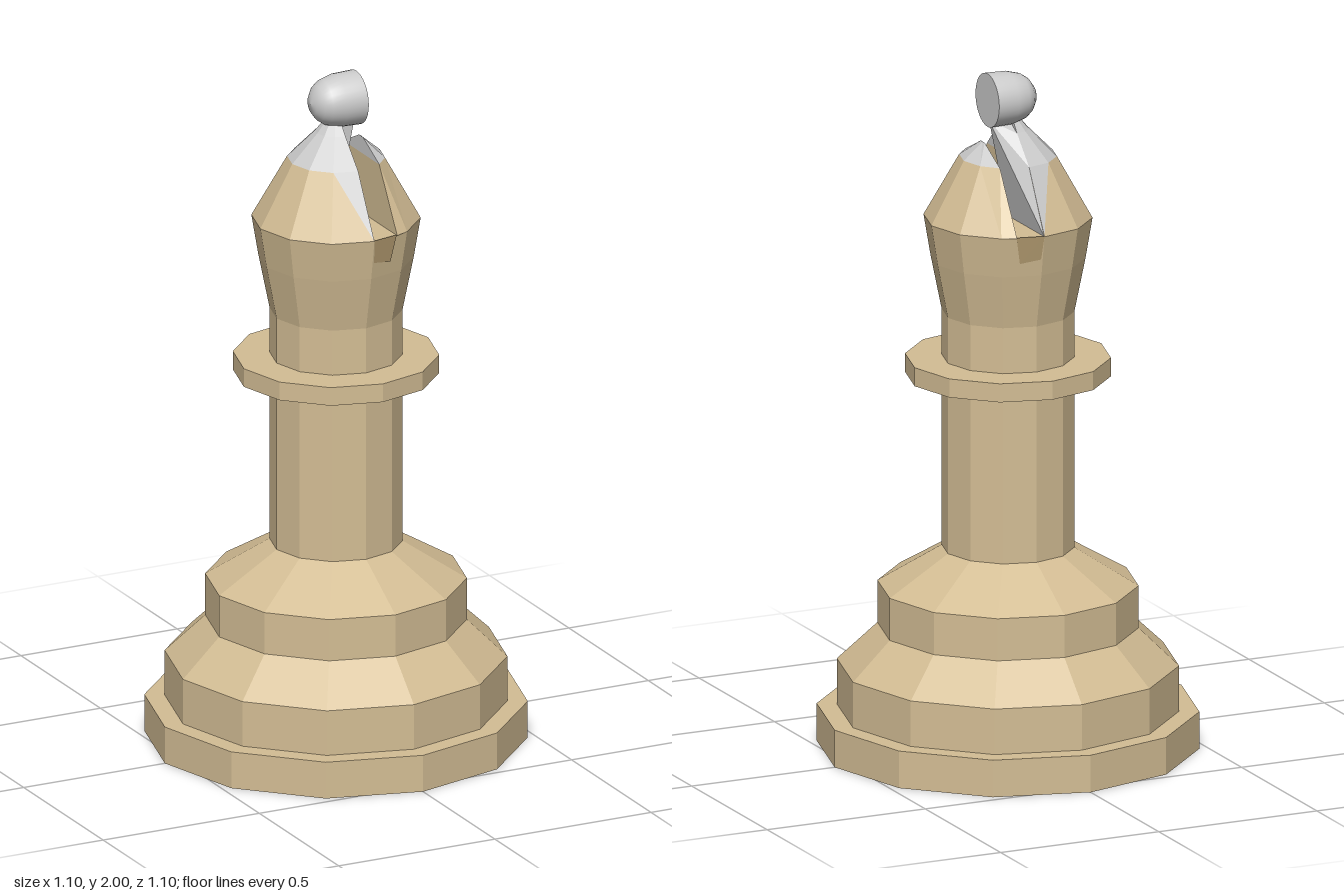
import * as THREE from 'three';

const flat = (color) => new THREE.MeshStandardMaterial({ color, flatShading: true, side: THREE.DoubleSide });
const tan = flat(0xd3bd94);
const grey = flat(0xcccccc);

function add(group, name, geometry, material) {
  const mesh = new THREE.Mesh(geometry, material);
  mesh.name = name;
  group.add(mesh);
  return mesh;
}

// twelve-sided turned solid from [radius, height] pairs, bottom to top
function turned(profile) {
  return new THREE.LatheGeometry(profile.map(([r, y]) => new THREE.Vector2(r, y)), 12);
}

// triangles from a list of corner points
function triangles(points) {
  const g = new THREE.BufferGeometry();
  g.setAttribute('position', new THREE.Float32BufferAttribute(points.flat(), 3));
  g.computeVertexNormals();
  return g;
}

// one side of the split head, sliced flat at distance `cut` from the centre
function headSide(group, name, side, cut, rings) {
  const tanPts = [], greyPts = [];
  const point = (i, j) => {
    const [r, y] = rings[i];
    const start = Math.asin(Math.min(1, cut / r));
    const phi = THREE.MathUtils.clamp(j * Math.PI / 6, start, Math.PI - start);
    return [side * r * Math.sin(phi), y, r * Math.cos(phi)];
  };
  const tri = (list, a, b, c) => list.push(...(side > 0 ? [a, b, c] : [a, c, b]));
  for (let i = 0; i < rings.length - 1; i++) {
    for (let j = 0; j < 6; j++) {
      const a = point(i, j), b = point(i, j + 1), c = point(i + 1, j + 1), d = point(i + 1, j);
      // pale crown, running down in a point beside the slot on the left-hand side
      const front = i > 0 || (side < 0 && j === 0), back = i > 0 || (side < 0 && j === 5);
      if (j < 3) {
        tri(i > 0 ? greyPts : tanPts, a, b, c);
        tri(front ? greyPts : tanPts, a, c, d);
      } else {
        tri(back ? greyPts : tanPts, b, c, d);
        tri(i > 0 ? greyPts : tanPts, a, b, d);
      }
    }
    // flat slot wall
    const f = point(i, 0), b = point(i, 6), bt = point(i + 1, 6), ft = point(i + 1, 0);
    const wall = i > 0 ? greyPts : tanPts;
    tri(wall, f, bt, b);
    tri(wall, f, ft, bt);
  }
  add(group, name, triangles(tanPts), tan);
  add(group, name + 'Crown', triangles(greyPts), grey);
}

export function createModel() {
  const model = new THREE.Group();
  model.name = 'chessPiece';

  // stepped foot, shaft and swelling head up to the slot floor
  add(model, 'body', turned([
    [0, 0], [0.548, 0], [0.548, 0.11], [0.49, 0.11], [0.49, 0.245],
    [0.374, 0.355], [0.374, 0.48], [0.19, 0.59], [0.19, 1.29],
    [0.222, 1.45], [0.242, 1.57], [0, 1.57],
  ]), tan);
  add(model, 'collar', turned([[0.18, 1.1], [0.295, 1.1], [0.295, 1.155], [0.18, 1.155]]), tan);

  // split dome
  const head = new THREE.Group();
  head.name = 'head';
  model.add(head);
  headSide(head, 'rightDome', -1, 0, [[0.242, 1.57], [0.14, 1.75], [0.06, 1.83], [0.035, 1.86]]);
  headSide(head, 'leftDome', 1, 0.08, [[0.242, 1.57], [0.14, 1.75], [0.081, 1.8]]);

  // leaning wedge at the back of the slot, rising to the finial
  const foot = [0, 1.57, -0.24], mid = [0, 1.75, -0.14], neck = [0, 1.83, -0.06];
  const tip = [0.06, 1.86, 0], centre = [0, 1.57, 0], top = [0, 1.86, 0];
  add(head, 'slotWedge', triangles([
    foot, tip, mid, mid, tip, neck, neck, tip, top,
    foot, centre, tip, centre, top, tip,
  ]), grey);

  // shallow lip at each end of the slot
  for (const s of [1, -1]) {
    const p = [[0, 1.572, 0.243], [0.08, 1.572, 0.225], [0.065, 1.49, 0.215], [0.005, 1.5, 0.23]]
      .map(([x, y, z]) => [x, y, s * z]);
    const order = s > 0 ? [0, 3, 2, 0, 2, 1] : [0, 2, 3, 0, 1, 2];
    add(head, 'slotLip', triangles(order.map((i) => p[i])), flat(0xb59d72));
  }

  // bullet-shaped finial lying along x, flat end to +x
  const smooth = new THREE.MeshStandardMaterial({ color: 0xcccccc });
  const bullet = [[0.079, -0.065], [0.077, 0], [0.066, 0.04], [0.052, 0.06], [0.03, 0.076], [0, 0.082]]
    .map(([r, y]) => new THREE.Vector2(r, y));
  const finial = new THREE.Group();
  finial.name = 'finial';
  finial.position.y = 1.921;
  finial.rotation.z = Math.PI / 2;
  add(finial, 'finialBody', new THREE.LatheGeometry(bullet, 32), smooth);
  const cap = add(finial, 'finialEnd', new THREE.CircleGeometry(0.079, 32), smooth);
  cap.rotation.x = Math.PI / 2;
  cap.position.y = -0.065;
  model.add(finial);

  return model;
}
